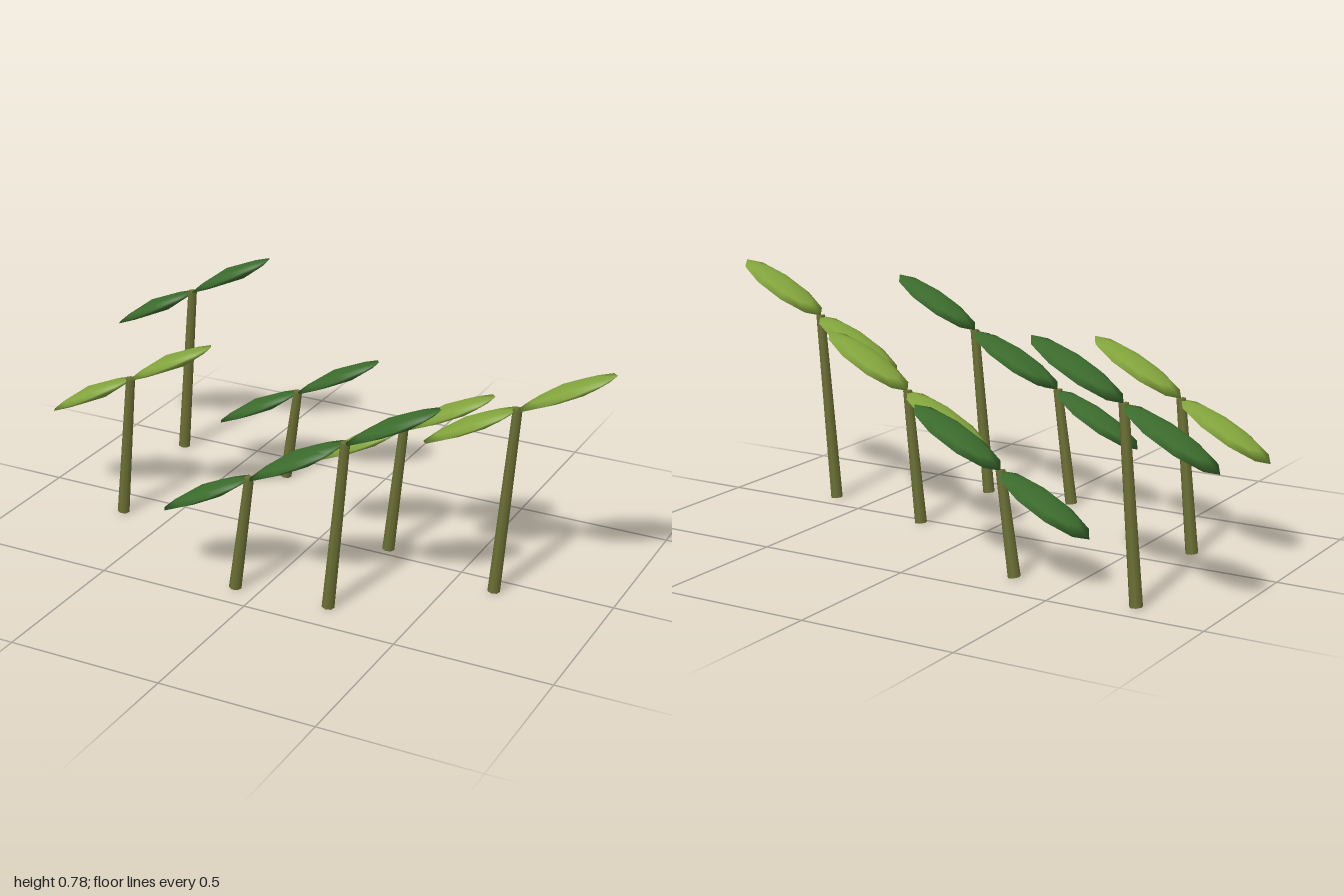
import * as THREE from 'three';
import { mergeVertices } from 'three/addons/utils/BufferGeometryUtils.js';

const TILT = 0.5;        // slope of the leaf pair
const HALF_LENGTH = 0.171;
const HALF_WIDTH = 0.083;

// Ten-sided lens with sharp rim; the underside keel sits a little toward the +x end
function makeLeafGeometry() {
  let geo = new THREE.SphereGeometry(1, 10, 4);
  const p = geo.attributes.position;
  for (let i = 0; i < p.count; i++) {
    const x = p.getX(i), y = p.getY(i), z = p.getZ(i);
    const r = Math.min(1, Math.hypot(x, z));
    const bulge = 1 - Math.pow(r, 1.6);
    const under = y < -0.01;
    p.setXYZ(i,
      HALF_LENGTH * (x + (under ? 0.25 * bulge : 0)),
      Math.abs(y) < 0.01 ? 0 : bulge * (under ? -0.025 : 0.029),
      HALF_WIDTH * z);
  }
  geo.deleteAttribute('uv');
  geo.deleteAttribute('normal');
  geo = mergeVertices(geo, 1e-5);
  geo.computeVertexNormals();
  return geo;
}

export function createModel() {
  const model = new THREE.Group();
  model.name = 'sprouts';

  const material = (name, color) => {
    const m = new THREE.MeshStandardMaterial({ color });
    m.name = name;
    return m;
  };
  const stemGreen = material('stem olive', 0x6b7034);
  const darkGreen = material('dark leaf green', 0x3d6e2e);
  const lightGreen = material('light leaf green', 0x86a83e);
  const leafGeometry = makeLeafGeometry();

  // base x, top x, height, z, leaf colour
  const sprouts = [
    [-0.75, -0.70, 0.59, -0.42, darkGreen],
    [-0.665, -0.617, 0.485, 0.12, lightGreen],
    [-0.315, -0.267, 0.322, -0.365, darkGreen],
    [-0.08, -0.025, 0.385, 0.41, darkGreen],
    [0.23, 0.285, 0.557, 0.39, darkGreen],
    [0.23, 0.277, 0.433, -0.035, lightGreen],
    [0.637, 0.69, 0.62, 0.07, lightGreen],
  ];

  for (const [baseX, topX, height, z, leafMaterial] of sprouts) {
    const sprout = new THREE.Group();
    sprout.name = 'sprout';
    sprout.position.set(baseX, 0, z);
    const lean = topX - baseX;

    // Tapered, leaning stem
    const length = Math.hypot(lean, height);
    const stem = new THREE.Mesh(new THREE.CylinderGeometry(0.015, 0.02, length, 7), stemGreen);
    stem.name = 'stem';
    stem.position.set(lean / 2, height / 2 + 0.002, 0);
    stem.rotation.z = -Math.atan2(lean, height);
    sprout.add(stem);

    // Pair of leaves meeting at the stem top
    for (const side of [-1, 1]) {
      const leaf = new THREE.Mesh(leafGeometry, leafMaterial);
      leaf.name = side > 0 ? 'leftLeaf' : 'rightLeaf';
      leaf.position.set(
        lean + side * HALF_LENGTH * Math.cos(TILT),
        height + side * HALF_LENGTH * Math.sin(TILT), 0);
      leaf.rotation.z = TILT;
      sprout.add(leaf);
    }
    model.add(sprout);
  }
  return model;
}
